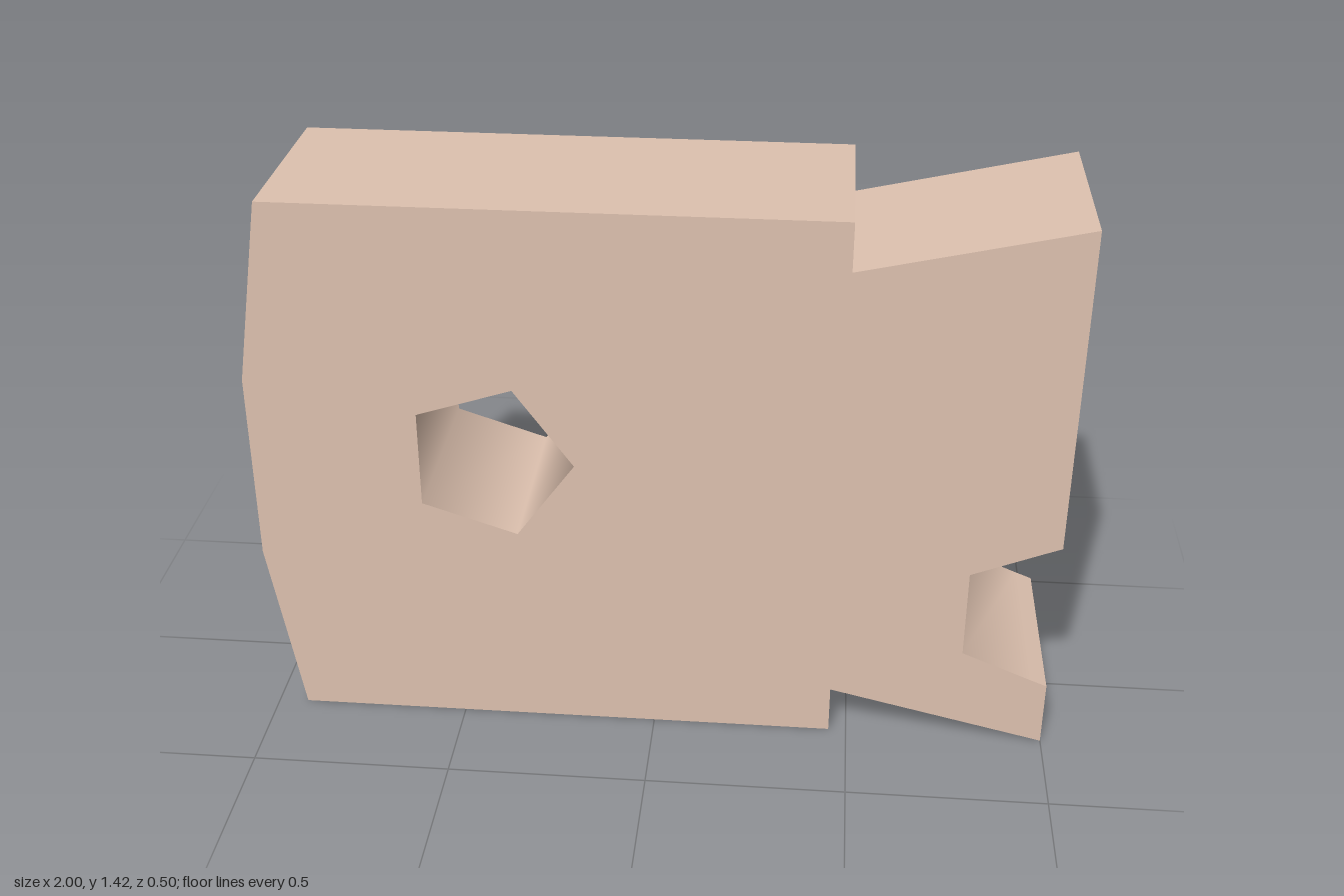
import * as THREE from 'three';
import { mergeGeometries } from 'three/addons/utils/BufferGeometryUtils.js';

const HALF = 0.25; // half thickness
const TOP = 1.42;

// Side wall along a run of points; normals are smooth inside one run.
// The solid lies to the left of the run's direction.
function wall(points) {
  const pos = [], index = [];
  points.forEach(([x, y], i) => {
    pos.push(x, y, HALF, x, y, -HALF);
    if (i < points.length - 1) {
      const a = 2 * i;
      index.push(a, a + 1, a + 2, a + 1, a + 3, a + 2);
    }
  });
  const g = new THREE.BufferGeometry();
  g.setAttribute('position', new THREE.Float32BufferAttribute(pos, 3));
  g.setIndex(index);
  g.computeVertexNormals();
  return g;
}

// Flat face of the plate, front or turned to the back
function face(shape, back) {
  const g = new THREE.ShapeGeometry(shape);
  g.deleteAttribute('uv');
  if (back) {
    const idx = g.index.array;
    for (let i = 0; i < idx.length; i += 3) [idx[i], idx[i + 1]] = [idx[i + 1], idx[i]];
    g.computeVertexNormals();
  }
  return g.translate(0, 0, back ? -HALF : HALF);
}

export function createModel() {
  const group = new THREE.Group();
  group.name = 'notchedPlate';
  const material = new THREE.MeshStandardMaterial({ color: 0xdcc0ae });

  // Outline, counter-clockwise from the lower left, split into runs at hard edges
  const notch = [[0.957, 0.19], [0.782, 0.262], [0.782, 0.497], [0.957, 0.568]];
  const runs = [
    [[-0.925, 0], [0.455, 0]],
    [[0.455, 0], [0.455, 0.127]],
    [[0.455, 0.127], [1, 0]],
    [[1, 0], [1, 0.173]],
    [[1, 0.173], notch[0]],
    notch,
    [notch[3], [1, 0.585]],
    [[1, 0.585], [1, TOP]],
    [[1, TOP], [0.455, 1.297]],
    [[0.455, 1.297], [0.455, TOP]],
    [[0.455, TOP], [-0.925, TOP]],
    [[-0.925, TOP], [-1, 0.955], [-1, 0.465], [-0.925, 0]],
  ];
  const outline = runs.flatMap((run) => run.slice(0, -1));

  // Five-sided through hole, clockwise
  const hole = [];
  for (let i = 0; i < 5; i++) {
    const a = (-i * 2 * Math.PI) / 5;
    hole.push([-0.407 + 0.212 * Math.cos(a), 0.755 + 0.212 * Math.sin(a)]);
  }

  const toVectors = (pts) => pts.map(([x, y]) => new THREE.Vector2(x, y));
  const shape = new THREE.Shape(toVectors(outline));
  shape.holes.push(new THREE.Path(toVectors(hole)));

  const add = (name, parts) => {
    const mesh = new THREE.Mesh(mergeGeometries(parts), material);
    mesh.name = name;
    group.add(mesh);
  };
  add('plateFaces', [face(shape, false), face(shape, true)]);
  add('plateEdges', runs.map(wall));

  // Hole lining, with the end normals matched across the seam
  const lining = wall([...hole, hole[0]]);
  const normal = lining.attributes.normal;
  for (let i = 0; i <= 5; i++) {
    const a = (-i * 2 * Math.PI) / 5;
    for (const k of [0, 1]) normal.setXYZ(2 * i + k, -Math.cos(a), -Math.sin(a), 0);
  }
  add('holeLining', [lining]);

  return group;
}
